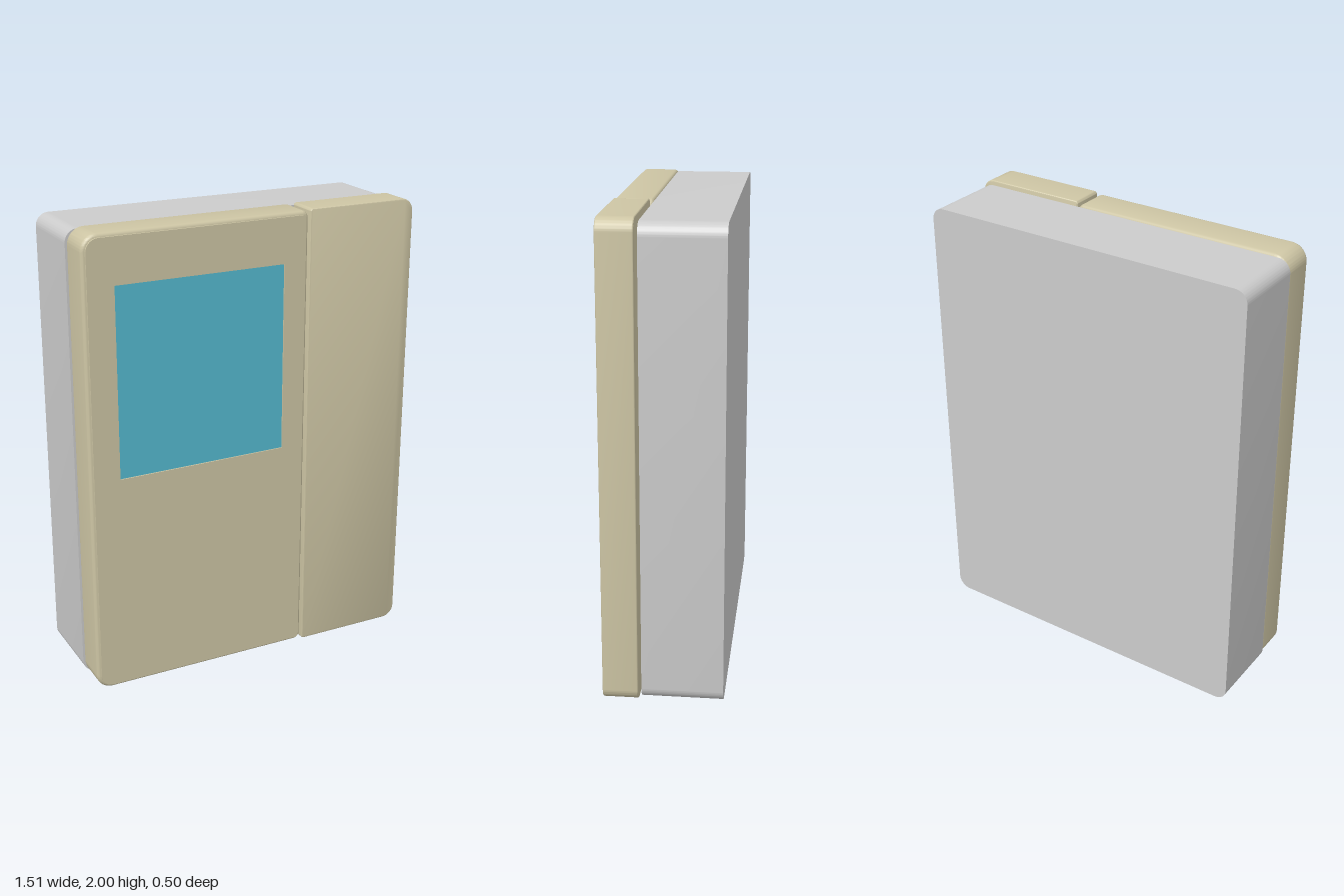
import * as THREE from 'three';
import { toCreasedNormals } from 'three/addons/utils/BufferGeometryUtils.js';

// Rounded rectangle with separate corner radii for the right-hand (-x) and left-hand (+x) sides
function roundedRect(x0, x1, y0, y1, rMin, rMax) {
  const s = new THREE.Shape();
  s.moveTo(x0 + rMin, y0);
  s.lineTo(x1 - rMax, y0);
  s.absarc(x1 - rMax, y0 + rMax, rMax, -Math.PI / 2, 0, false);
  s.lineTo(x1, y1 - rMax);
  s.absarc(x1 - rMax, y1 - rMax, rMax, 0, Math.PI / 2, false);
  s.lineTo(x0 + rMin, y1);
  s.absarc(x0 + rMin, y1 - rMin, rMin, Math.PI / 2, Math.PI, false);
  s.lineTo(x0, y0 + rMin);
  s.absarc(x0 + rMin, y0 + rMin, rMin, Math.PI, Math.PI * 1.5, false);
  return s;
}

// Slab between z0 and z1; the bevel lies inside the stated depth and outline
function slab(name, shape, z0, z1, bevel, material) {
  const geo = new THREE.ExtrudeGeometry(shape, {
    depth: z1 - z0 - 2 * bevel, curveSegments: 10,
    bevelEnabled: bevel > 0, bevelThickness: bevel, bevelSize: bevel,
    bevelOffset: -bevel, bevelSegments: 5,
  });
  geo.translate(0, 0, z0 + bevel);
  const mesh = new THREE.Mesh(toCreasedNormals(geo, 0.6), material);
  mesh.name = name;
  return mesh;
}

export function createModel() {
  const group = new THREE.Group();
  group.name = 'wallUnit';
  const grey = new THREE.MeshStandardMaterial({ color: 0xcccccc });
  const beige = new THREE.MeshStandardMaterial({ color: 0xcdc5a4 });
  const blue = new THREE.MeshStandardMaterial({ color: 0x55b9cf });

  // Rear housing
  group.add(slab('housing', roundedRect(-0.755, 0.745, 0.01, 1.985, 0.055, 0.055), -0.255, 0.082, 0, grey));

  // Main front cover with a thin face around the screen recess
  group.add(slab('mainCover', roundedRect(-0.75, 0.245, 0.005, 1.995, 0.07, 0.03), 0.08, 0.243, 0.018, beige));
  const corners = [[-0.62, 0.97], [0.13, 0.975], [0.13, 1.785], [-0.62, 1.785]]
    .map(([x, y]) => new THREE.Vector2(x, y));
  const face = roundedRect(-0.734, 0.229, 0.021, 1.979, 0.054, 0.014);
  face.holes.push(new THREE.Path(corners));
  group.add(slab('coverFace', face, 0.24, 0.25, 0, beige));

  // Recessed screen
  const screen = new THREE.Mesh(new THREE.ShapeGeometry(new THREE.Shape(corners)), blue);
  screen.name = 'screen';
  screen.position.z = 0.245;
  group.add(screen);

  // Narrow side door, standing slightly off the housing
  group.add(slab('sideDoor', roundedRect(0.253, 0.752, 0, 2, 0.012, 0.055), 0.095, 0.243, 0.006, beige));

  return group;
}
